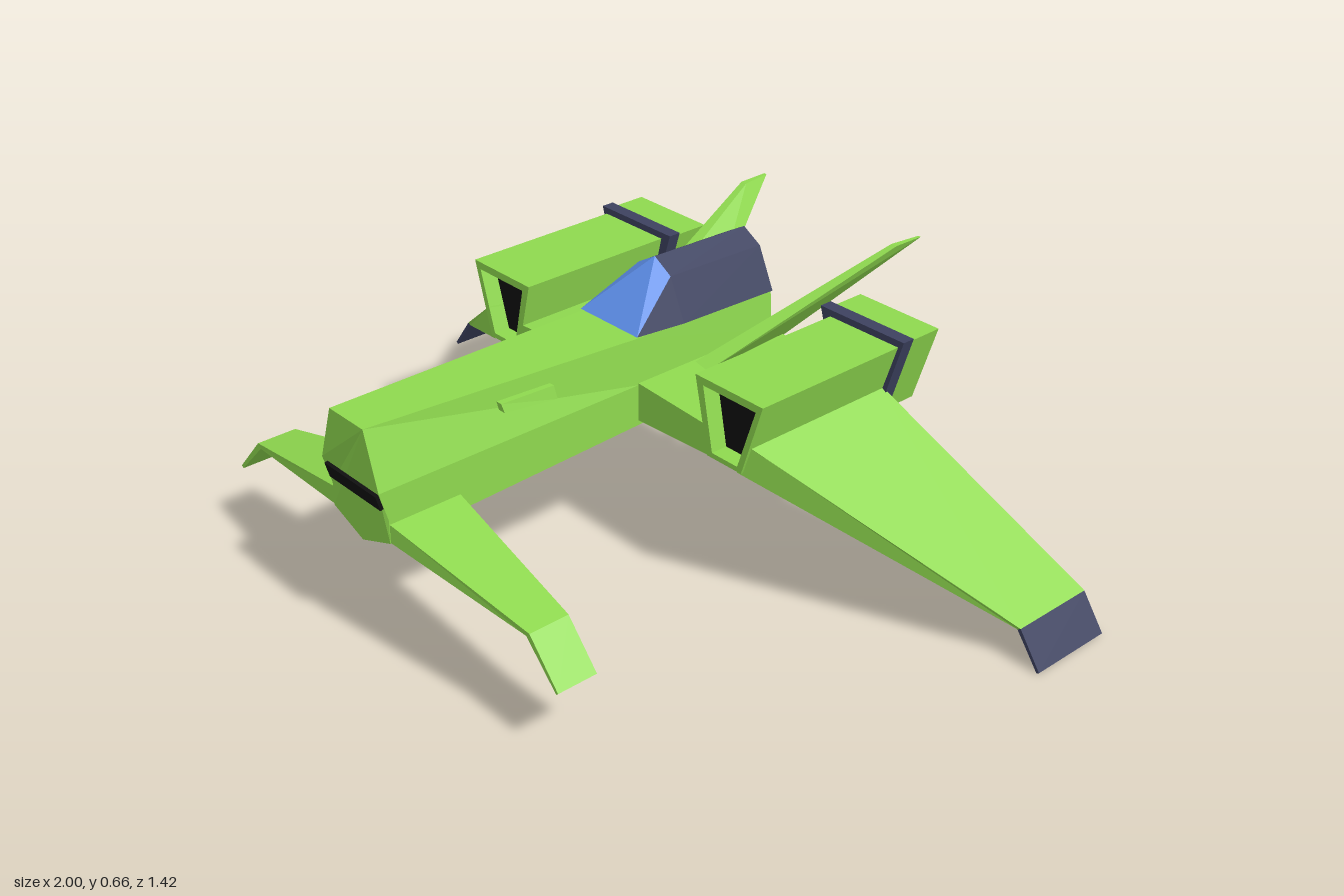
import * as THREE from 'three';

const mat = (name, color) => {
  const m = new THREE.MeshStandardMaterial({ color, flatShading: true, side: THREE.DoubleSide });
  m.name = name;
  return m;
};

// Join rings of [x, y, z] points into a closed solid, turned so its faces look outward
function loft(rings) {
  const tris = [], n = rings[0].length;
  for (let r = 0; r + 1 < rings.length; r++) {
    const a = rings[r], b = rings[r + 1];
    for (let i = 0; i < n; i++) {
      const j = (i + 1) % n;
      tris.push([a[i], a[j], b[j]], [a[i], b[j], b[i]]);
    }
  }
  const last = rings[rings.length - 1];
  for (let i = 1; i + 1 < n; i++) {
    tris.push([rings[0][0], rings[0][i + 1], rings[0][i]], [last[0], last[i], last[i + 1]]);
  }
  let volume = 0;
  const v = tris.map(t => t.map(p => new THREE.Vector3(...p)));
  for (const [a, b, c] of v) volume += a.dot(b.clone().cross(c));
  const pos = [];
  for (const [a, b, c] of v) {
    for (const p of volume < 0 ? [a, c, b] : [a, b, c]) pos.push(p.x, p.y, p.z);
  }
  const g = new THREE.BufferGeometry();
  g.setAttribute('position', new THREE.Float32BufferAttribute(pos, 3));
  g.computeVertexNormals();
  return g;
}

// Hollow trapezoid frame extruded from z0 forward to z1
function frame(outer, inner, z0, z1) {
  const shape = new THREE.Shape(outer.map(p => new THREE.Vector2(...p)));
  shape.holes.push(new THREE.Path(inner.map(p => new THREE.Vector2(...p))));
  const g = new THREE.ExtrudeGeometry(shape, { depth: z1 - z0, bevelEnabled: false });
  return g.translate(0, 0, z0);
}

// Trapezoid: x range at the top, x range at the bottom
const trap = (xt0, xt1, yt, xb0, xb1, yb) => [[xt0, yt], [xt1, yt], [xb1, yb], [xb0, yb]];

export function createModel() {
  const green = mat('hullGreen', 0x8fd94f);
  const navy = mat('trimNavy', 0x3d4260);
  const blue = mat('glassBlue', 0x5f92ee);
  const black = mat('ductBlack', 0x101010);

  const root = new THREE.Group();
  root.name = 'starfighter';
  const add = (parent, name, geo, m) => {
    const mesh = new THREE.Mesh(geo, m);
    mesh.name = name;
    parent.add(mesh);
    return mesh;
  };

  // Fuselage: each half outline is mirrored into a full ring
  const hullRing = half => [
    ...half,
    ...half.slice(0, -1).reverse().map(([x, y, z]) => [-x, y, z]),
  ];
  add(root, 'fuselage', loft([
    hullRing([[0.058, 0.56, 0.71], [0.1, 0.43, 0.71], [0.1, 0.36, 0.69], [0.1, 0.305, 0.69], [0, 0.267, 0.69]]),
    hullRing([[0.092, 0.54, 0.02], [0.1, 0.43, 0.02], [0.1, 0.36, 0.02], [0.1, 0.33, 0.02], [0, 0.285, 0.02]]),
    hullRing([[0.092, 0.53, -0.39], [0.1, 0.43, -0.39], [0.1, 0.36, -0.39], [0.1, 0.345, -0.39], [0, 0.3, -0.39]]),
  ]), green);

  // Dark slot across the nose
  const slot = add(root, 'noseSlot', new THREE.BoxGeometry(0.18, 0.038, 0.008), black);
  slot.position.set(0, 0.402, 0.703);
  slot.rotation.x = Math.atan2(0.02, 0.07);

  // Canopy: solid rear cover with a sloping windshield in front
  const canopyRing = (z, w, y0, ys, yt) =>
    [[w, y0, z], [0.052, ys, z], [0, yt, z], [-0.052, ys, z], [-w, y0, z]];
  add(root, 'canopyCover', loft([
    canopyRing(-0.115, 0.098, 0.535, 0.633, 0.664),
    canopyRing(-0.39, 0.098, 0.528, 0.626, 0.656),
  ]), navy);
  const tri = (...pts) => {
    const g = new THREE.BufferGeometry();
    g.setAttribute('position', new THREE.Float32BufferAttribute(pts.flat(), 3));
    g.computeVertexNormals();
    return g;
  };
  const L = [-0.094, 0.544, 0.02], R = [0.094, 0.544, 0.02];
  const SL = [-0.052, 0.633, -0.115], SR = [0.052, 0.633, -0.115], T = [0, 0.664, -0.115];
  add(root, 'windshield', tri(L, R, T, R, SR, T, L, T, SL), blue);
  add(root, 'canopyCheeks', tri(
    R, [0.098, 0.535, -0.115], SR,
    L, SL, [-0.098, 0.535, -0.115]), navy);

  for (const s of [1, -1]) {
    const side = new THREE.Group();
    side.name = s > 0 ? 'leftSide' : 'rightSide';
    root.add(side);
    const solid = (name, rings, m) =>
      add(side, name, loft(rings.map(r => r.map(([x, y, z]) => [s * x, y, z]))), m);
    const flip = pts => pts.map(([x, y]) => [s * x, y]);

    // Wing section: leading edge top/bottom, then trailing edge bottom/top
    const rib = (xt, xb, zf, zb, ft, fb, bt, bb) =>
      [[xt, ft, zf], [xb, fb, zf], [xb, bb, zb], [xt, bt, zb]];
    solid('innerWing', [
      rib(0.09, 0.09, 0.02, -0.39, 0.435, 0.342, 0.435, 0.345),
      rib(0.32, 0.32, 0.02, -0.39, 0.422, 0.352, 0.422, 0.355),
    ], green);
    solid('outerWing', [
      rib(0.43, 0.41, 0.02, -0.39, 0.425, 0.348, 0.425, 0.365),
      rib(0.942, 0.934, -0.295, -0.51, 0.085, 0.08, 0.085, 0.08),
    ], green);
    solid('wingTip', [
      rib(0.942, 0.934, -0.295, -0.51, 0.085, 0.08, 0.085, 0.08),
      rib(1.0, 0.994, -0.295, -0.51, 0.004, 0, 0.004, 0),
    ], navy);

    // Forward canard with a drooping tip
    solid('canard', [
      rib(0.09, 0.09, 0.69, 0.51, 0.352, 0.308, 0.352, 0.308),
      rib(0.482, 0.472, 0.64, 0.542, 0.266, 0.256, 0.266, 0.256),
      rib(0.566, 0.56, 0.64, 0.542, 0.171, 0.166, 0.171, 0.166),
    ], green);

    // Swept, outward-leaning tail fin
    solid('tailFin', [
      [[0.1, 0.425, -0.12], [0.15, 0.425, -0.12], [0.13, 0.425, -0.4], [0.1, 0.425, -0.4]],
      [[0.236, 0.62, -0.63], [0.252, 0.62, -0.63], [0.254, 0.62, -0.71], [0.246, 0.62, -0.71]],
    ], green);

    // Raised vent on the fuselage flank
    solid('sideVent', [
      [[0.07, 0.515, 0.392], [0.07, 0.495, 0.388], [0.07, 0.48, 0.25], [0.07, 0.512, 0.255]],
      [[0.092, 0.515, 0.392], [0.098, 0.495, 0.388], [0.102, 0.48, 0.25], [0.096, 0.512, 0.255]],
    ], green);

    // Engine: open body, collar and nozzle with dark ducts inside
    const inner = flip(trap(0.302, 0.458, 0.512, 0.334, 0.41, 0.362));
    add(side, 'engineBody',
      frame(flip(trap(0.278, 0.478, 0.53, 0.32, 0.422, 0.35)), inner, -0.39, 0.02), green);
    add(side, 'engineCollar',
      frame(flip(trap(0.248, 0.493, 0.546, 0.31, 0.432, 0.34)), inner, -0.422, -0.39), navy);
    add(side, 'engineNozzle',
      frame(flip(trap(0.256, 0.486, 0.538, 0.314, 0.428, 0.346)),
        flip(trap(0.284, 0.458, 0.52, 0.328, 0.414, 0.36)), -0.512, -0.422), green);
    const plate = new THREE.Shape(inner.map(p => new THREE.Vector2(...p)));
    for (const [name, z] of [['intakeDuct', -0.03], ['exhaustDuct', -0.41]]) {
      const g = new THREE.ExtrudeGeometry(plate, { depth: 0.008, bevelEnabled: false });
      add(side, name, g.translate(0, 0, z), black);
    }
  }
  return root;
}
